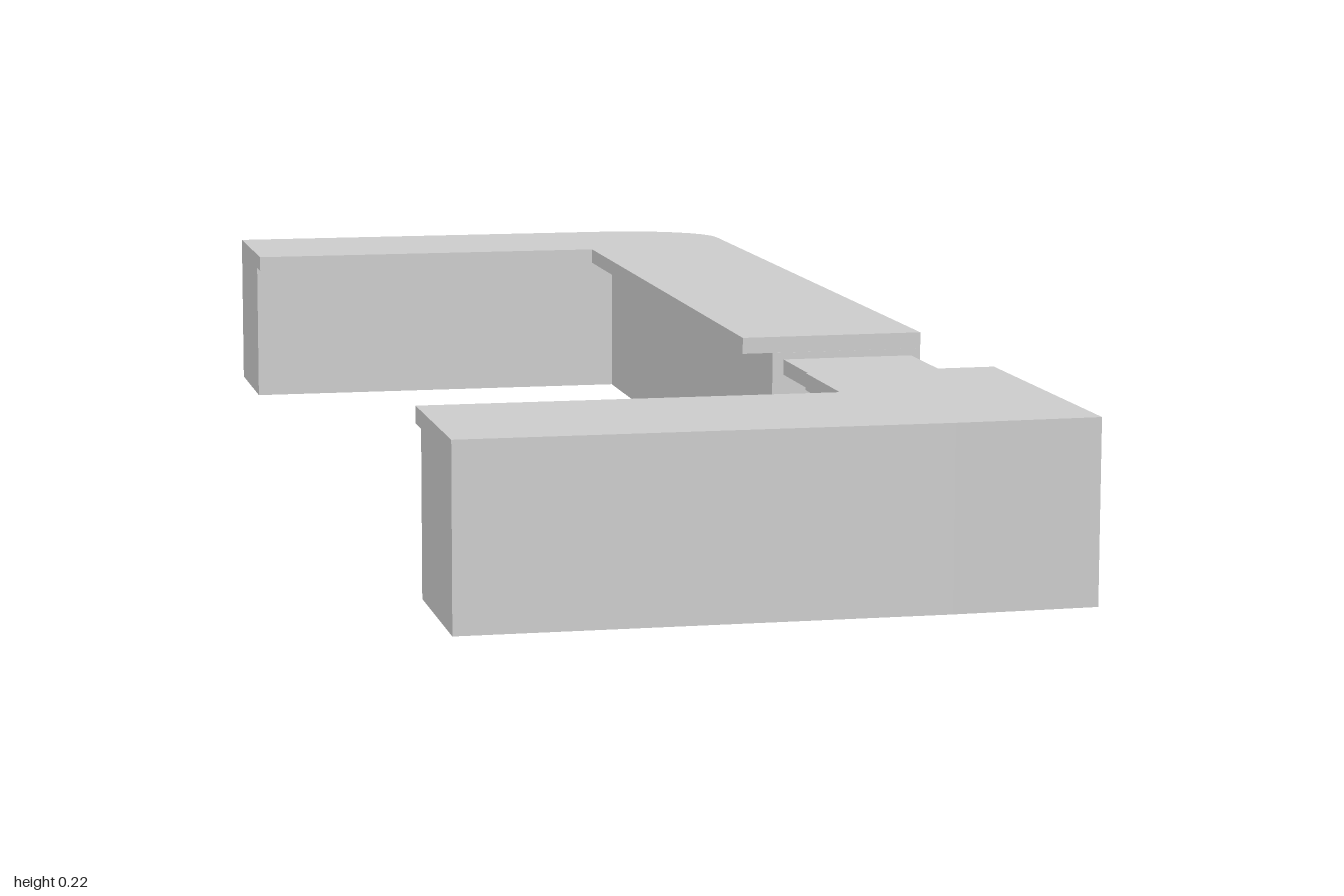
import * as THREE from 'three';

const material = new THREE.MeshStandardMaterial({ color: 0xcccccc, flatShading: true });

// Extrudes a plan outline of [x, z] points upward from y0 to y1
function slab(name, outline, y0, y1) {
  const shape = new THREE.Shape(outline.map(([x, z]) => new THREE.Vector2(x, -z)));
  const geometry = new THREE.ExtrudeGeometry(shape, { depth: y1 - y0, bevelEnabled: false });
  geometry.rotateX(-Math.PI / 2).translate(0, y0, 0);
  const mesh = new THREE.Mesh(geometry, material);
  mesh.name = name;
  return mesh;
}

// Rounded outer corner at the back, shared by base and top
const corner = [];
for (let i = 0; i <= 8; i++) {
  const a = (i / 8) * Math.PI / 2;
  corner.push([0.205 + 0.17 * Math.sin(a), -0.885 - 0.115 * Math.cos(a)]);
}

// Plan outlines; inset pulls the inner edges back beneath the overhanging top
const longOutline = (inset) => [
  [-0.375, -1], ...corner, [0.375, 0.268], [0.133 + inset, 0.273],
  [0.145 + inset, -0.757 - inset], [-0.375, -0.757 - inset],
];
const shortOutline = (inset) => [
  [-0.375, 1], [0.2, 1], [0.375, 0.994], [0.375, 0.588], [0.133 + inset, 0.594],
  [0.133 + inset, 0.752 + inset], [-0.375, 0.752 + inset],
];

export function createModel() {
  const group = new THREE.Group();
  group.name = 'receptionCounter';
  const top = 0.22, under = 0.199, overhang = 0.04;

  // Two counter sections, each a base with a thin overhanging worktop
  for (const [label, outline] of [['long', longOutline], ['short', shortOutline]]) {
    group.add(slab(label + 'CounterBase', outline(overhang), 0, under));
    group.add(slab(label + 'CounterTop', outline(0), under, top));
  }

  // Lift-up flap bridging the gap between the sections
  group.add(slab('counterFlap', [[0.188, 0.27], [0.188, 0.593], [0.362, 0.593], [0.362, 0.27]], 0.17, 0.19));
  return group;
}
